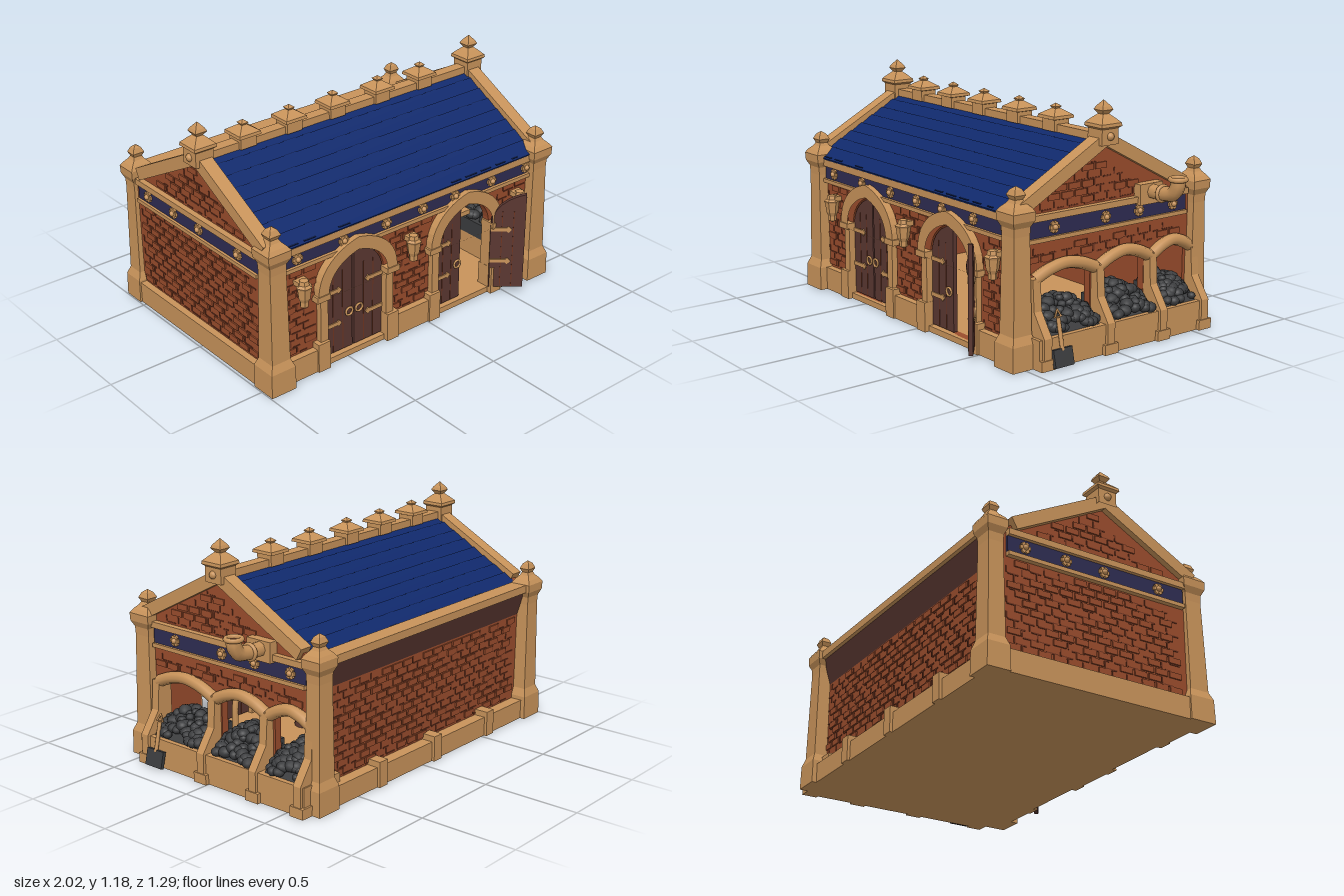
import * as THREE from 'three';
import { mergeGeometries } from 'three/addons/utils/BufferGeometryUtils.js';

const mat = (name, color, side = THREE.FrontSide) => {
  const m = new THREE.MeshStandardMaterial({ color, side });
  m.name = name;
  return m;
};

export function createModel() {
  const stone = mat('sandstone', 0xc8935a), brick = mat('brick', 0x994c2c), darkBrick = mat('darkBrick', 0x6e3420);
  const blue = mat('roofBlue', 0x10296c), darkBlue = mat('tileShadow', 0x0a1a44), navy = mat('bandNavy', 0x2e2c52);
  const wood = mat('darkWood', 0x5a3731), coalMat = mat('coal', 0x3b3c3e);
  const model = new THREE.Group();
  model.name = 'coalHouse';

  let seed = 7;
  const rnd = () => (seed = (seed * 16807) % 2147483647) / 2147483647;
  const add = (name, geo, m, x = 0, y = 0, z = 0, parent = model) => {
    const mesh = new THREE.Mesh(geo, m);
    mesh.name = name;
    mesh.position.set(x, y, z);
    parent.add(mesh);
    return mesh;
  };
  const group = (name, x = 0, y = 0, z = 0, ry = 0, parent = model) => {
    const g = new THREE.Group();
    g.name = name;
    g.position.set(x, y, z);
    g.rotation.y = ry;
    parent.add(g);
    return g;
  };
  // Box given by its limits
  const block = (name, m, x0, x1, y0, y1, z0, z1, parent) =>
    add(name, new THREE.BoxGeometry(x1 - x0, y1 - y0, z1 - z0), m, (x0 + x1) / 2, (y0 + y1) / 2, (z0 + z1) / 2, parent);
  // Faceted turned form; four sides give a square tower
  const turned = (profile, sides = 4) => {
    const k = 1 / Math.cos(Math.PI / sides);
    const g = new THREE.LatheGeometry(profile.map(([r, y]) => new THREE.Vector2(r * k, y)), sides, Math.PI / sides).toNonIndexed();
    g.computeVertexNormals();
    return g;
  };
  const tube = (pts, r, n = 20) => new THREE.TubeGeometry(new THREE.CatmullRomCurve3(pts.map(p => new THREE.Vector3(...p))), n, r, 8);
  const extrude = (shape, depth) => new THREE.ExtrudeGeometry(shape, { depth, bevelEnabled: false, curveSegments: 10 });
  // Arch outline, standing on y0, with spring line and crown
  const arch = (P, cx, w, y0, spring, top) => {
    const p = new P();
    p.moveTo(cx - w, y0);
    p.lineTo(cx - w, spring);
    p.bezierCurveTo(cx - w, spring + (top - spring) * 0.6, cx - w * 0.5, top - 0.02, cx, top);
    p.bezierCurveTo(cx + w * 0.5, top - 0.02, cx + w, spring + (top - spring) * 0.6, cx + w, spring);
    p.lineTo(cx + w, y0);
    p.closePath();
    return p;
  };
  // Raised bricks and dark joints on a wall facing local +z
  const brickwork = (parent, u0, u1, v0, v1, free) => {
    const light = [], dark = [];
    const h = 0.037;
    for (let v = v0, r = 0; v + h <= v1; v += h, r++) {
      for (let u = u0 + (r % 2) * 0.04; u + 0.075 < u1; u += 0.08) {
        if (!free(u, v) || !free(u + 0.075, v + h)) continue;
        const k = rnd();
        if (k < 0.5) light.push(new THREE.BoxGeometry(0.068, 0.029, 0.014).translate(u + 0.036, v + h / 2, 0));
        if (k > 0.3) dark.push(new THREE.BoxGeometry(0.03 + 0.04 * rnd(), 0.007, 0.006).translate(u + 0.036, v, 0));
        if (k > 0.55) dark.push(new THREE.BoxGeometry(0.007, 0.03, 0.006).translate(u, v + h / 2, 0));
      }
    }
    add('raisedBricks', mergeGeometries(light), brick, 0, 0, 0, parent);
    add('brickJoints', mergeGeometries(dark), darkBrick, 0, 0, 0, parent);
  };

  // Floor and plinth
  block('floor', stone, -0.95, 0.8, 0, 0.03, -0.6, 0.52);
  for (const [a, b] of [[-0.9, -0.64], [-0.26, 0.05], [0.44, 0.7]]) block('frontPlinth', stone, a, b, 0, 0.12, 0.45, 0.535);
  block('backPlinth', stone, -0.92, 0.74, 0, 0.1, -0.63, -0.55);
  block('leftPlinth', stone, -0.985, -0.92, 0, 0.11, -0.59, 0.51);
  for (const x of [-0.55, -0.1, 0.33]) block('backPlinthPier', stone, x - 0.03, x + 0.03, 0, 0.13, -0.645, -0.56);

  // Front wall with two doorways
  const doors = [-0.45, 0.25];
  const front = group('frontWall', 0, 0, 0.5);
  const frontShape = new THREE.Shape([[-0.94, 0.02], [0.74, 0.02], [0.74, 0.7], [-0.94, 0.7]].map(p => new THREE.Vector2(...p)));
  doors.forEach(x => frontShape.holes.push(arch(THREE.Path, x, 0.185, 0.03, 0.39, 0.575)));
  add('frontBrick', extrude(frontShape, 0.04), brick, 0, 0, -0.04, front);
  brickwork(front, -0.87, 0.69, 0.13, 0.58, u => doors.every(d => Math.abs(u - d) > 0.2));

  // Back wall, soffit and gutter beam
  const back = group('backWall', 0, 0, -0.57, Math.PI);
  block('backBrick', brick, -0.74, 0.94, 0.02, 0.7, -0.04, 0, back);
  brickwork(back, -0.7, 0.88, 0.11, 0.57, () => true);
  const soffit = new THREE.Shape([[0, 0.56], [0.04, 0.69], [0, 0.7]].map(p => new THREE.Vector2(...p)));
  add('backSoffit', extrude(soffit, 1.62).rotateY(-Math.PI / 2), wood, 0.91, 0, 0, back);
  block('backGutter', stone, -0.92, 0.72, 0.69, 0.73, -0.63, -0.54);

  // Gable walls; the right one has three coal bays (local x = -z on the right, +z on the left)
  const bays = [[-0.235, 0.165], [0.13, 0.14], [0.44, 0.11]];
  const gable = s => new THREE.Shape([[-0.5, 0.02], [0.57, 0.02], [0.57, 0.7], [0, 0.985], [-0.5, 0.71]]
    .map(([u, y]) => new THREE.Vector2(u * s, y)));
  const emblem = (x, y, z, parent) => {
    for (let i = 0; i < 3; i++) add('bandEmblem', new THREE.BoxGeometry(0.055, 0.018, 0.012), stone, x, y, z, parent).rotation.z = i * Math.PI / 3;
    add('bandEmblemBoss', new THREE.SphereGeometry(0.014, 8, 6), stone, x, y, z + 0.008, parent);
  };
  for (const s of [1, -1]) {
    const right = s === 1;
    const g = group(right ? 'rightWall' : 'leftWall', right ? 0.74 : -0.95, 0, 0, s * Math.PI / 2);
    const shape = gable(s);
    if (right) bays.forEach(([u, w]) => shape.holes.push(arch(THREE.Path, u, w, 0.1, 0.38, 0.445)));
    add('gableBrick', extrude(shape, 0.04), brick, 0, 0, -0.04, g);
    const lo = right ? -0.45 : -0.53, hi = right ? 0.53 : 0.45;
    brickwork(g, lo, hi, right ? 0.47 : 0.12, 0.57, () => true);
    brickwork(g, lo, hi, 0.71, 0.96, (u, v) => v < 0.95 - Math.abs(u) * 0.56);
    block('blueBand', navy, lo, hi, 0.59, 0.67, -0.01, 0.012, g);
    block('upperLedge', stone, lo, hi, 0.67, 0.7, -0.01, 0.03, g);
    block('lowerLedge', stone, lo, hi, 0.57, 0.59, -0.01, 0.025, g);
    [-0.3, 0.01, 0.22, 0.44].forEach(u => emblem(u * s, 0.63, 0.016, g));
  }
  block('blueBand', navy, -0.88, 0.7, 0.6, 0.67, -0.01, 0.01, front);
  block('upperLedge', stone, -0.9, 0.7, 0.67, 0.705, -0.02, 0.03, front);
  block('lowerLedge', stone, -0.9, 0.7, 0.58, 0.6, -0.01, 0.025, front);
  [-0.79, -0.52, -0.26, -0.03, 0.18, 0.43, 0.67].forEach(x => emblem(x, 0.635, 0.014, front));

  // Corner columns with finials
  const column = turned([[0, 0], [0.07, 0], [0.068, 0.12], [0.052, 0.16], [0.045, 0.62], [0.047, 0.66], [0.062, 0.69], [0.064, 0.73],
    [0.05, 0.75], [0.03, 0.77], [0.022, 0.785], [0.032, 0.805], [0.02, 0.83], [0, 0.845]]);
  for (const x of [-0.925, 0.735]) for (const z of [0.505, -0.595]) add('cornerColumn', column, stone, x, 0, z).scale.z = z > 0 ? 1 : 0.85;

  // Roof slopes with overlapping tile courses and gable coping
  const slope = Math.atan(0.285 / 0.535), run = 0.6;
  for (const ry of [0, Math.PI]) {
    const side = group(ry ? 'backRoof' : 'frontRoof', -0.105, 1.0, 0, ry);
    const pitch = group('roofSlope', 0, 0, 0, 0, side);
    pitch.rotation.x = slope;
    block('roofDeck', blue, -0.82, 0.82, -0.03, -0.01, 0, run, pitch);
    const dashes = [];
    const n = 8, step = run / n;
    for (let i = 0; i < n; i++) {
      add('tileCourse', new THREE.BoxGeometry(1.62, 0.014, step + 0.012), blue, 0, -0.004, (i + 0.5) * step, pitch).rotation.x = 0.08;
      for (let x = -0.77 + (i % 2) * 0.05; x < 0.76; x += 0.1)
        if (rnd() < 0.6) dashes.push(new THREE.BoxGeometry(0.04 + 0.04 * rnd(), 0.006, 0.007).translate(x, 0.001, (i + 1) * step - 0.006));
    }
    add('tileGaps', mergeGeometries(dashes), darkBlue, 0, 0, 0, pitch);
    for (const x of [-0.84, 0.84]) block('gableCoping', stone, x - 0.035, x + 0.035, -0.03, 0.032, 0, 0.57, pitch);
  }

  // Ridge with caps and end finials
  block('ridgeBeam', stone, -0.92, 0.72, 0.985, 1.025, -0.03, 0.03);
  const ridgeCap = turned([[0.045, 0.99], [0.045, 1.045], [0.062, 1.05], [0.06, 1.065], [0.03, 1.085], [0.014, 1.095], [0.02, 1.105], [0, 1.12]]);
  [-0.7, -0.43, -0.165, 0.12, 0.4].forEach(x => add('ridgeCap', ridgeCap, stone, x));
  const spire = turned([[0.05, 0.975], [0.05, 1.05], [0.062, 1.06], [0.06, 1.075], [0.035, 1.1], [0.018, 1.115], [0.032, 1.135], [0.025, 1.15], [0, 1.18]]);
  for (const x of [-0.95, 0.74]) {
    add('ridgeFinial', spire, stone, x);
    add('finialBoss', new THREE.SphereGeometry(0.02, 8, 6), stone, x + Math.sign(x) * 0.048, 1.015, 0);
  }

  // Door surrounds, leaves and iron work
  const leafShape = () => {
    const s = new THREE.Shape();
    s.moveTo(0, 0.035);
    s.lineTo(0.175, 0.035);
    s.lineTo(0.175, 0.565);
    s.bezierCurveTo(0.09, 0.55, 0, 0.49, 0, 0.39);
    return s;
  };
  const leaf = (name, parent, mirrored) => {
    const s = leafShape(), k = mirrored ? -1 : 1;
    const shape = new THREE.Shape(s.getPoints(8).map(p => new THREE.Vector2(p.x * k, p.y)));
    add(name, extrude(shape, 0.022), wood, 0, 0, -0.011, parent);
    for (const y of [0.19, 0.37]) {
      block('hingeStrap', stone, k > 0 ? 0 : -0.09, k > 0 ? 0.09 : 0, y - 0.01, y + 0.01, -0.017, 0.017, parent);
      add('strapTip', new THREE.BoxGeometry(0.026, 0.026, 0.034), stone, k * 0.09, y, 0, parent).rotation.z = Math.PI / 4;
    }
    add('doorRing', new THREE.TorusGeometry(0.02, 0.006, 6, 14), stone, k * 0.15, 0.235, 0.02, parent);
    for (const u of [0.058, 0.116]) block('plankGap', darkBrick, k * u - 0.002, k * u + 0.002, 0.04, 0.47, -0.013, 0.013, parent);
  };
  doors.forEach((x, i) => {
    const ring = arch(THREE.Shape, x, 0.24, 0.38, 0.4, 0.64);
    ring.holes.push(arch(THREE.Path, x, 0.18, 0.381, 0.39, 0.575));
    add('doorArch', extrude(ring, 0.075), stone, 0, 0, 0.465);
    for (const s of [-1, 1]) {
      block('doorJamb', stone, x + s * 0.2 - 0.022, x + s * 0.2 + 0.022, 0.1, 0.4, 0.46, 0.53);
      block('doorJambFoot', stone, x + s * 0.212 - 0.035, x + s * 0.212 + 0.035, 0, 0.15, 0.45, 0.545);
      block('doorImpost', stone, x + s * 0.212 - 0.038, x + s * 0.212 + 0.038, 0.375, 0.405, 0.46, 0.545);
    }
    leaf('leftLeaf', group('closedDoor', x - 0.18, 0, 0.485), false);
    leaf('rightLeaf', group(i ? 'openDoor' : 'closedDoor', x + 0.18, 0, i ? 0.52 : 0.485, i ? 2.45 : 0), true);
  });

  // Wall lanterns
  const lantern = turned([[0, 0.385], [0.018, 0.395], [0.018, 0.42], [0.026, 0.44], [0.032, 0.49], [0.036, 0.5], [0.024, 0.51], [0.02, 0.53], [0, 0.535]], 6);
  [-0.775, -0.11, 0.61].forEach(x => {
    add('lantern', lantern, stone, x, 0, 0.54);
    block('lanternBracket', stone, x - 0.03, x + 0.03, 0.5, 0.525, 0.5, 0.54);
  });

  // Coal bunker: front kerb, sloped piers, arches and heaps
  block('bunkerKerb', stone, 0.6, 0.85, 0, 0.145, -0.6, 0.46);
  const pier = new THREE.Shape([[0.7, 0], [0.865, 0], [0.865, 0.15], [0.79, 0.26], [0.78, 0.41], [0.7, 0.41]].map(p => new THREE.Vector2(...p)));
  [0.42, 0.04, -0.295, -0.57].forEach(z => {
    add('bayPier', extrude(pier, 0.045), stone, 0, 0, z - 0.0225);
    block('bayPierFoot', stone, 0.75, 0.87, 0, 0.05, z - 0.04, z + 0.04);
  });
  const lumps = new THREE.IcosahedronGeometry(1, 1);
  bays.forEach(([u, w]) => {
    add('bayArch', tube([[0.755, 0.4, -u + w + 0.02], [0.755, 0.435, -u + w * 0.6], [0.755, 0.452, -u], [0.755, 0.435, -u - w * 0.6], [0.755, 0.4, -u - w - 0.02]], 0.03), stone);
    const heap = [];
    for (let i = 0; i < 90; i++) {
      const x = 0.62 + 0.21 * rnd(), t = rnd() * 2 - 1, r = 0.02 + 0.014 * rnd();
      const y = 0.15 + (0.125 - 0.06 * t * t) * (x > 0.72 ? (0.86 - x) / 0.14 : 1) * (0.75 + 0.25 * rnd());
      heap.push(lumps.clone().scale(r, r * 0.85, r).rotateY(rnd() * 6).translate(x, y, -u + t * (w - 0.025)));
    }
    add('coalLumps', mergeGeometries(heap), coalMat);
    const core = new THREE.Shape([[0.6, 0.14], [0.83, 0.14], [0.74, 0.23], [0.6, 0.23]].map(p => new THREE.Vector2(...p)));
    add('coalHeap', extrude(core, w * 2 - 0.02), coalMat, 0, 0, -u - w + 0.01);
  });

  // Bent chimney pipe
  block('pipeFlange', stone, 0.73, 0.785, 0.66, 0.76, -0.345, -0.2);
  add('pipe', tube([[0.75, 0.72, -0.28], [0.86, 0.72, -0.28], [0.925, 0.735, -0.28], [0.948, 0.77, -0.28], [0.95, 0.805, -0.28]], 0.036), stone);
  add('pipeMouth', new THREE.TorusGeometry(0.037, 0.012, 8, 18).rotateX(Math.PI / 2), stone, 0.95, 0.805, -0.28);
  add('pipeMouthInside', new THREE.CircleGeometry(0.034, 16).rotateX(-Math.PI / 2), darkBrick, 0.95, 0.8, -0.28);
  add('pipeCollar', new THREE.TorusGeometry(0.036, 0.01, 8, 18).rotateY(Math.PI / 2), stone, 0.85, 0.72, -0.28);

  // Shovel leaning on the bunker
  const shovel = group('shovel', 0.885, 0.01, 0.34);
  shovel.rotation.z = 0.22;
  block('shovelBlade', coalMat, -0.012, 0.006, 0, 0.085, -0.055, 0.055, shovel);
  add('shovelHandle', new THREE.CylinderGeometry(0.01, 0.01, 0.15, 8), stone, 0, 0.15, 0, shovel);
  add('shovelGrip', new THREE.TorusGeometry(0.022, 0.007, 6, 3).rotateX(Math.PI).rotateZ(Math.PI / 2).rotateY(Math.PI / 2), stone, 0, 0.24, 0, shovel);

  // Inside: stove and workbench
  add('stove', new THREE.SphereGeometry(0.1, 16, 12), wood, 0, 0.24, 0.12);
  add('stoveFoot', new THREE.CylinderGeometry(0.05, 0.07, 0.14, 12), wood, 0, 0.1, 0.12);
  block('benchTop', stone, 0.22, 0.44, 0.385, 0.41, 0.3, 0.36);
  add('benchLeg', tube([[0.27, 0.39, 0.33], [0.28, 0.3, 0.33], [0.32, 0.18, 0.33], [0.32, 0.03, 0.33]], 0.016), stone);
  return model;
}
